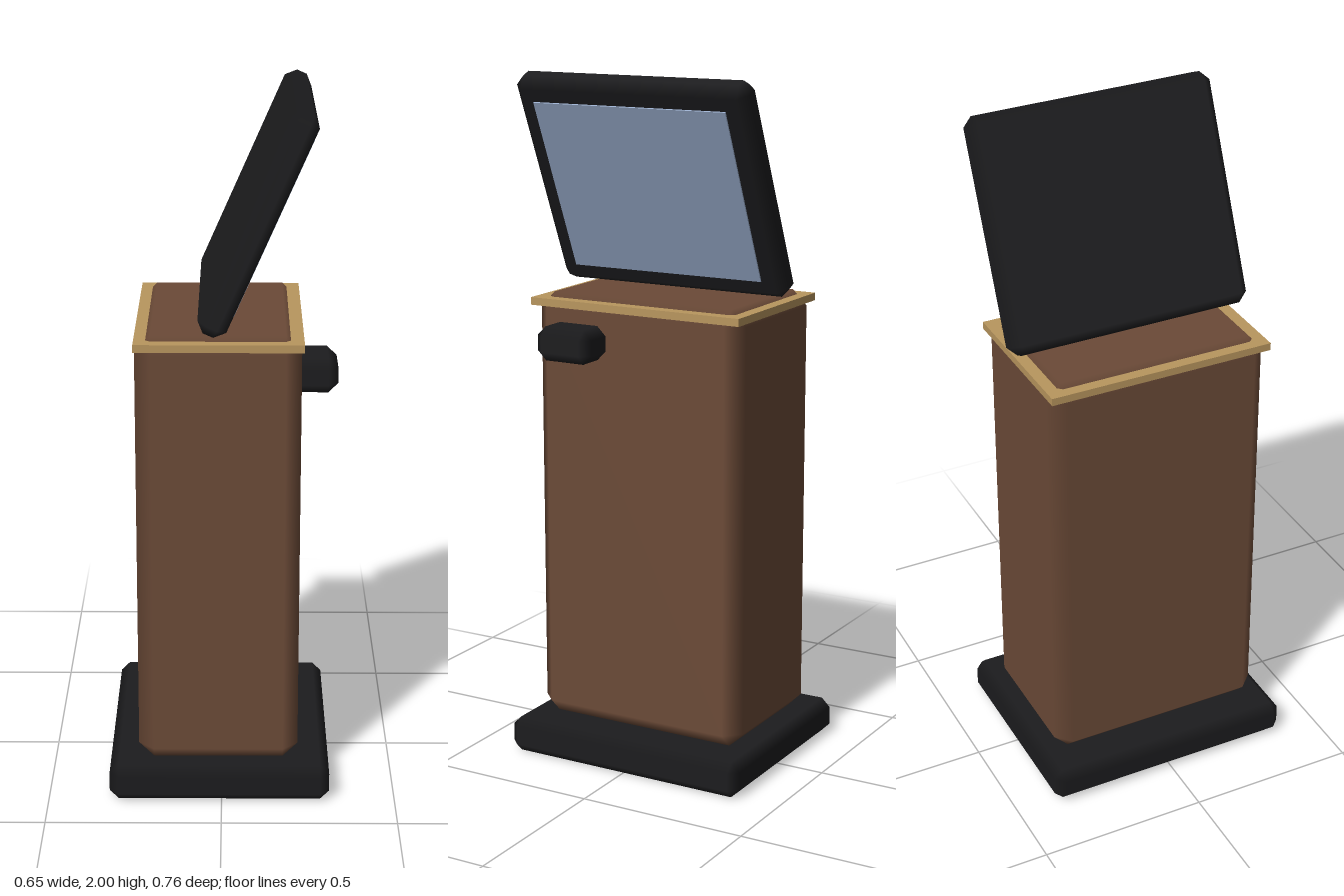
import * as THREE from 'three';
import { ConvexGeometry } from 'three/addons/geometries/ConvexGeometry.js';

const material = (color) => new THREE.MeshStandardMaterial({ color });

// Box with a single soft-shaded chamfer on every edge, centred on the origin
function chamferBox(w, h, d, c) {
  const half = [w / 2, h / 2, d / 2];
  const points = [];
  for (const sx of [-1, 1]) for (const sy of [-1, 1]) for (const sz of [-1, 1]) {
    for (let axis = 0; axis < 3; axis++) {
      const p = [sx, sy, sz].map((s, i) => s * (half[i] - (i === axis ? 0 : c)));
      points.push(new THREE.Vector3(...p));
    }
  }
  const geometry = new ConvexGeometry(points);
  // every corner takes the normal of the flat side it lies on
  const pos = geometry.attributes.position;
  const normal = geometry.attributes.normal;
  for (let i = 0; i < pos.count; i++) {
    const p = [pos.getX(i), pos.getY(i), pos.getZ(i)];
    normal.setXYZ(i, ...p.map((v, k) => (Math.abs(Math.abs(v) - half[k]) < c / 2 ? Math.sign(v) : 0)));
  }
  return geometry;
}

function add(parent, name, geometry, mat, x, y, z) {
  const mesh = new THREE.Mesh(geometry, mat);
  mesh.name = name;
  mesh.position.set(x, y, z);
  parent.add(mesh);
  return mesh;
}

export function createModel() {
  const model = new THREE.Group();
  model.name = 'kiosk';
  const black = material(0x1c1c1e);
  const brown = material(0x6b4a37);
  const gold = material(0xb8965e);
  const glass = material(0x98abca);

  // Floor plinth and cabinet
  add(model, 'base', chamferBox(0.635, 0.105, 0.76, 0.026), black, -0.0065, 0.0525, 0);
  add(model, 'cabinet', chamferBox(0.46, 1.272, 0.664, 0.044), brown, -0.01, 0.739, 0);

  // Thin trim around the cabinet top
  add(model, 'topTrim', new THREE.BoxGeometry(0.468, 0.022, 0.672), gold, -0.008, 1.351, 0);

  // Small reader on the side the screen faces
  add(model, 'cardReader', chamferBox(0.16, 0.098, 0.178, 0.027), black, 0.242, 1.249, 0.18);

  // Tilted monitor with its display panel
  const monitor = new THREE.Group();
  monitor.name = 'monitor';
  monitor.position.set(0.096, 1.6925, 0);
  monitor.rotation.z = -THREE.MathUtils.degToRad(23.8);
  model.add(monitor);
  add(monitor, 'monitorCase', chamferBox(0.085, 0.66, 0.734, 0.027), black, 0, 0, 0);
  add(monitor, 'display', new THREE.BoxGeometry(0.012, 0.53, 0.606), glass, 0.041, 0, 0.002);

  return model;
}
